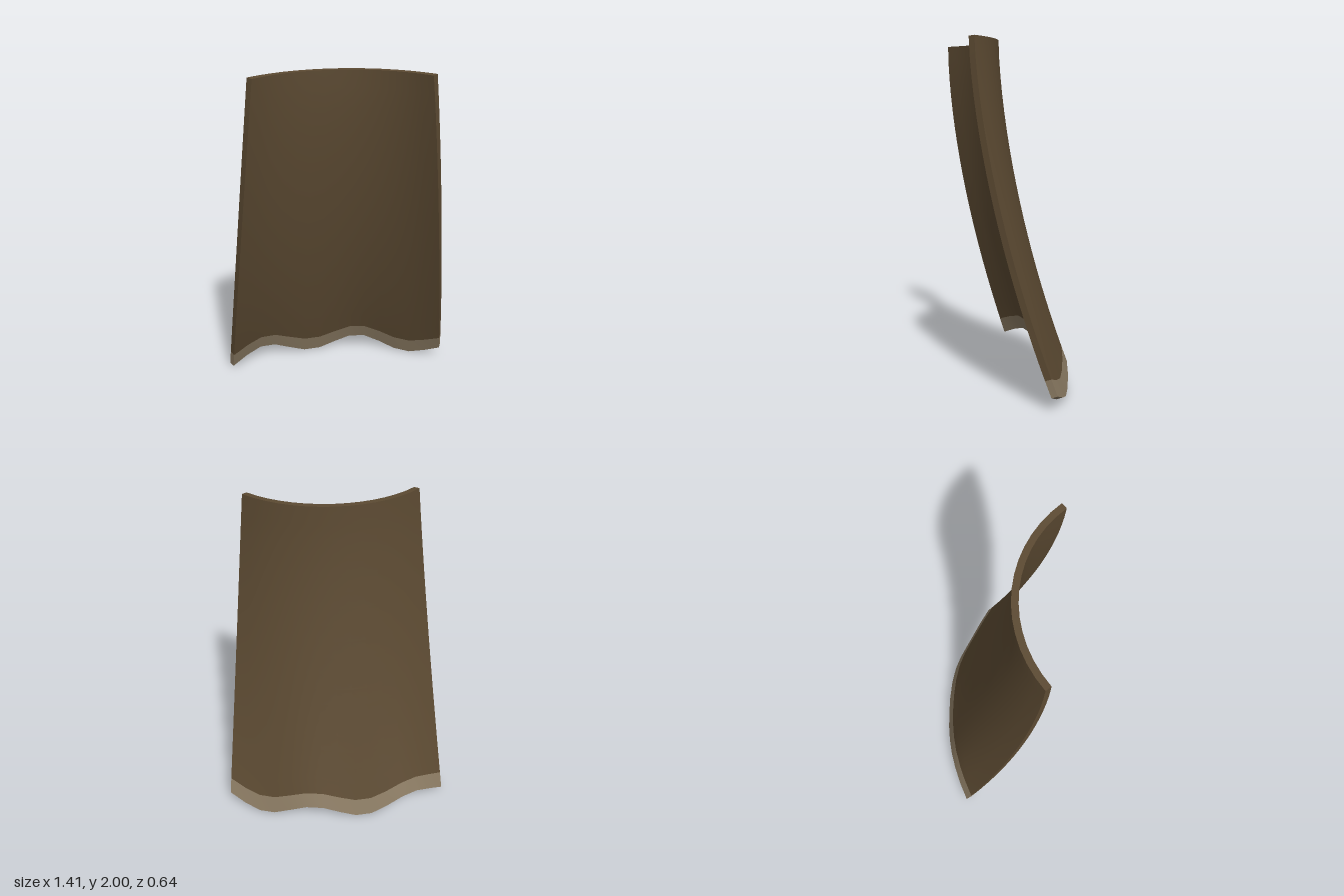
import * as THREE from 'three';
import { mergeGeometries } from 'three/addons/utils/BufferGeometryUtils.js';

const COLS = 14;
const HALF = 0.0185; // half of the cloth thickness
const lerp = THREE.MathUtils.lerp;

// Middle surface: u runs -1..1 from right to left, v runs 0..1 from shoulder to hem
function middle(u, v) {
  const halfWidth = lerp(0.485, 0.697, v);
  const sag = 0.2;
  const radius = (halfWidth * halfWidth + sag * sag) / (2 * sag);
  const angle = u * Math.asin(halfWidth / radius);
  const wave = 0.05 * Math.sin(7 * u) * v ** 3;
  return new THREE.Vector3(
    radius * Math.sin(angle),
    lerp(2, 0.055, v) + wave,
    0.1025 - 0.405 * v ** 1.65 + radius * (1 - Math.cos(angle))
  );
}

// Point on the cloth: s = -1 is the inner face, s = 1 the outer face
function cloth(u, v, s) {
  const e = 1e-3;
  const du = middle(u + e, v).sub(middle(u - e, v));
  const dv = middle(u, v + e).sub(middle(u, Math.max(v - e, 0)));
  return middle(u, v).addScaledVector(du.cross(dv).normalize(), s * HALF);
}

// Grid of quads over a function of a, b in 0..1, facing along da x db
function patch(fn, na, nb) {
  const pos = [], index = [];
  for (let j = 0; j <= nb; j++)
    for (let i = 0; i <= na; i++) pos.push(...fn(i / na, j / nb).toArray());
  for (let j = 0; j < nb; j++)
    for (let i = 0; i < na; i++) {
      const p = j * (na + 1) + i, q = p + na + 1;
      index.push(p, p + 1, q, p + 1, q + 1, q);
    }
  const g = new THREE.BufferGeometry();
  g.setAttribute('position', new THREE.Float32BufferAttribute(pos, 3));
  g.setIndex(index);
  g.computeVertexNormals();
  return g;
}

// Thick band of cloth between two heights, with its side edges
function band(v0, v1, rows) {
  const v = (b) => lerp(v0, v1, b);
  return [
    patch((a, b) => cloth(2 * a - 1, v(b), 1), COLS, rows),
    patch((a, b) => cloth(1 - 2 * a, v(b), -1), COLS, rows),
    patch((a, b) => cloth(1, v(b), 1 - 2 * a), 1, rows),
    patch((a, b) => cloth(-1, v(b), 2 * a - 1), 1, rows),
  ];
}

export function createModel() {
  const fabric = new THREE.MeshStandardMaterial({ color: 0x5c4a32 });
  fabric.name = 'brown cloth';
  const border = new THREE.MeshStandardMaterial({ color: 0x8a7a62 });
  border.name = 'pale hem';

  const group = new THREE.Group();
  group.name = 'cape';
  const add = (name, parts, material) => {
    const mesh = new THREE.Mesh(mergeGeometries(parts), material);
    mesh.name = name;
    group.add(mesh);
  };

  const split = 0.949; // where the hem border begins
  const topEdge = patch((a, b) => cloth(2 * a - 1, 0, 2 * b - 1), COLS, 1);
  const hemEdge = patch((a, b) => cloth(2 * a - 1, 1, 1 - 2 * b), COLS, 1);
  add('capeCloth', [...band(0, split, 18), topEdge], fabric);
  add('hemBorder', [...band(split, 1, 1), hemEdge], border);
  return group;
}
